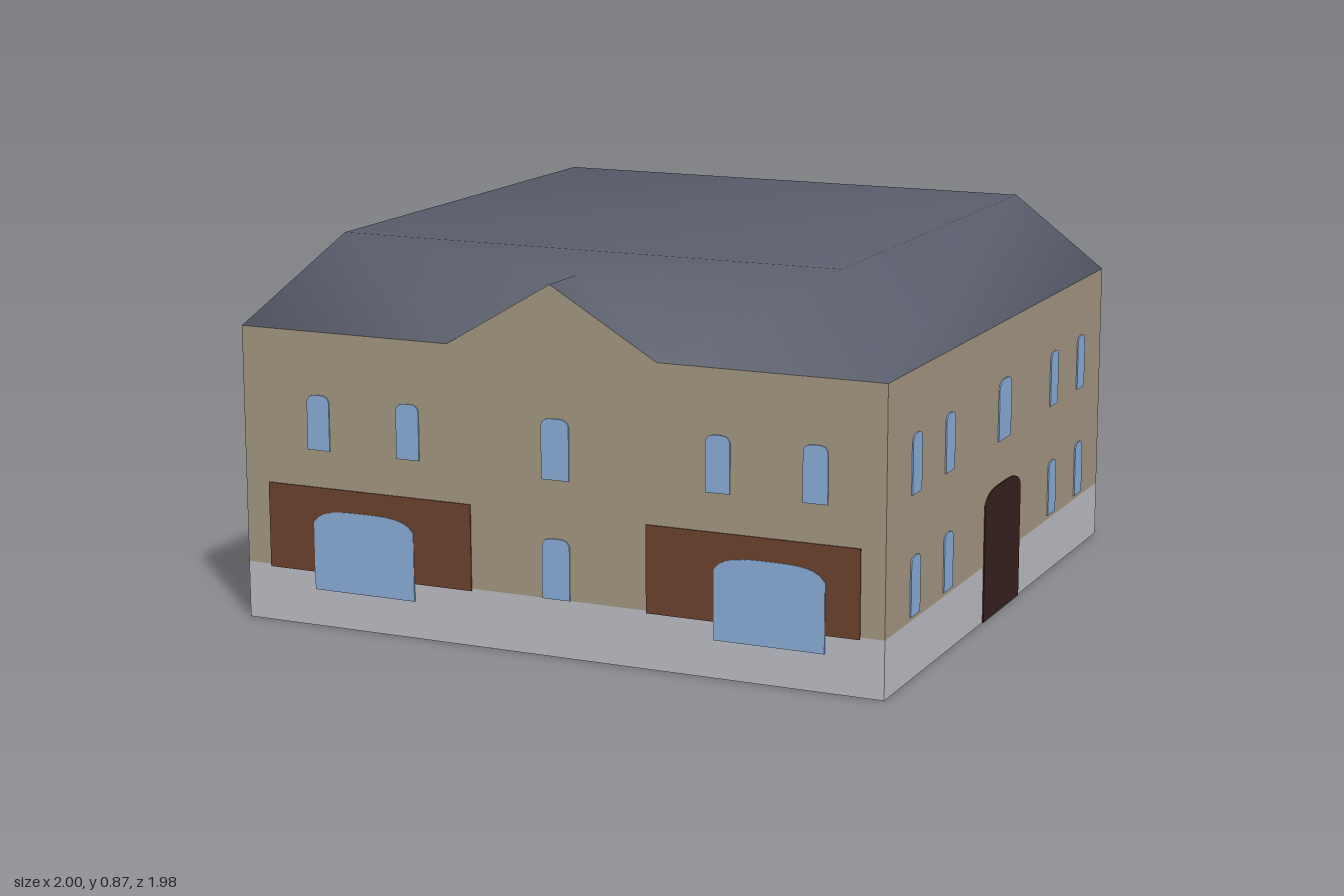
import * as THREE from 'three';

const W = 1.533, D = 1.497;               // footprint
const BASE = 0.13, EAVE = 0.672, TOP = 0.868, INSET = 0.17;

const material = (name, color) => {
  const m = new THREE.MeshStandardMaterial({ color, side: THREE.DoubleSide });
  m.name = name;
  return m;
};

export function createModel() {
  const mats = {
    plaster: material('plaster', 0xa89a84),
    stone: material('stone', 0xc0c2c8),
    slate: material('slate', 0x5a5e6c),
    glass: material('glass', 0x8cb0dc),
    brick: material('brick', 0x6e432e),
    wood: material('dark wood', 0x38211f),
  };

  const add = (parent, name, geometry, mat) => {
    const mesh = new THREE.Mesh(geometry, mat);
    mesh.name = name;
    parent.add(mesh);
    return mesh;
  };

  // Flat wall strip between two heights
  const strip = (parent, name, width, y0, y1, mat) =>
    add(parent, name, new THREE.PlaneGeometry(width, y1 - y0), mat).position.y = (y0 + y1) / 2;

  // Thin plate with an arched head, set through the wall so it shows on both faces
  const plate = (parent, name, x, width, y0, y1, rise, mat, depth = 0.006) => {
    const h = width / 2;
    const s = new THREE.Shape();
    s.moveTo(-h, y0);
    s.lineTo(h, y0);
    s.lineTo(h, y1 - rise);
    if (rise > 0) {
      s.bezierCurveTo(h * 0.85, y1, h * 0.5, y1, 0, y1);
      s.bezierCurveTo(-h * 0.5, y1, -h * 0.85, y1, -h, y1 - rise);
    } else s.lineTo(-h, y1);
    s.closePath();
    const g = new THREE.ExtrudeGeometry(s, { depth, bevelEnabled: false, curveSegments: 6 });
    g.translate(x, 0, -depth / 2);
    add(parent, name, g, mat);
  };

  // Shop side: two brick shop fronts, a middle bay and upper windows
  const shopSide = (wall) => {
    for (const [x, width, pane] of [[-0.452, 0.51, -0.465], [0.468, 0.488, 0.508]]) {
      plate(wall, 'shopFront', x, width, 0.125, 0.32, 0, mats.brick);
      plate(wall, 'shopWindow', pane, 0.252, 0.085, 0.27, 0.03, mats.glass, 0.009);
    }
    for (const x of [-0.575, -0.35, 0.39, 0.61])
      plate(wall, 'upperWindow', x, 0.056, 0.405, 0.53, 0.015, mats.glass);
    plate(wall, 'upperMiddleWindow', 0.01, 0.066, 0.395, 0.53, 0.015, mats.glass);
    plate(wall, 'lowerMiddleWindow', 0.01, 0.066, 0.13, 0.265, 0.015, mats.glass);
  };

  // Door side: arched gate with two rows of windows
  const doorSide = (wall) => {
    plate(wall, 'door', 0.003, 0.25, 0, 0.3, 0.03, mats.wood);
    for (const x of [-0.573, -0.365, 0.372, 0.583]) {
      plate(wall, 'lowerWindow', x, 0.056, 0.14, 0.27, 0.015, mats.glass);
      plate(wall, 'upperWindow', x, 0.056, 0.405, 0.535, 0.015, mats.glass);
    }
    plate(wall, 'upperMiddleWindow', 0.005, 0.084, 0.4, 0.54, 0.02, mats.glass);
  };

  const building = new THREE.Group();
  building.name = 'building';
  building.rotation.y = -0.4065;

  // Four walls, front and back with shops, the sides with doors
  ['front', 'left', 'back', 'right'].forEach((label, i) => {
    const wall = new THREE.Group();
    wall.name = label + 'Wall';
    const width = i % 2 ? D : W, out = (i % 2 ? W : D) / 2;
    wall.rotation.y = i * Math.PI / 2;
    wall.position.set(Math.sin(wall.rotation.y) * out, 0, Math.cos(wall.rotation.y) * out);
    strip(wall, 'plinth', width, 0, BASE, mats.stone);
    strip(wall, 'wallFace', width, BASE, EAVE, mats.plaster);
    (i % 2 ? doorSide : shopSide)(wall);
    building.add(wall);
  });

  // Hipped roof with a flat top and a gable cut into the front slope
  const w = W / 2, d = D / 2, wi = w - INSET, di = d - INSET;
  const g = 0.25, peak = 0.82;
  const back = d - INSET * (peak - EAVE) / (TOP - EAVE);
  const roof = new THREE.BufferGeometry();
  roof.setAttribute('position', new THREE.Float32BufferAttribute([
    -w, EAVE, d, w, EAVE, d, w, EAVE, -d, -w, EAVE, -d,
    -wi, TOP, di, wi, TOP, di, wi, TOP, -di, -wi, TOP, -di,
    -g, EAVE, d, g, EAVE, d, 0, peak, back, 0, peak, d,
  ], 3));
  roof.setIndex([
    4, 5, 6, 4, 6, 7,                                          // flat top
    0, 8, 4, 8, 10, 4, 10, 5, 4, 9, 5, 10, 9, 1, 5,            // front slope
    1, 2, 6, 1, 6, 5, 2, 3, 7, 2, 7, 6, 3, 0, 4, 3, 4, 7,      // other slopes
    11, 9, 10, 11, 10, 8,                                      // gable roof
  ]);
  roof.computeVertexNormals();
  add(building, 'roof', roof, mats.slate);

  // Plaster gable triangle above the front wall
  const tri = new THREE.Shape([[-g, EAVE], [g, EAVE], [0, peak]].map(([x, y]) => new THREE.Vector2(x, y)));
  add(building, 'gable', new THREE.ShapeGeometry(tri), mats.plaster).position.z = d;

  const model = new THREE.Group();
  model.name = 'courtyardHouse';
  model.add(building);
  return model;
}
